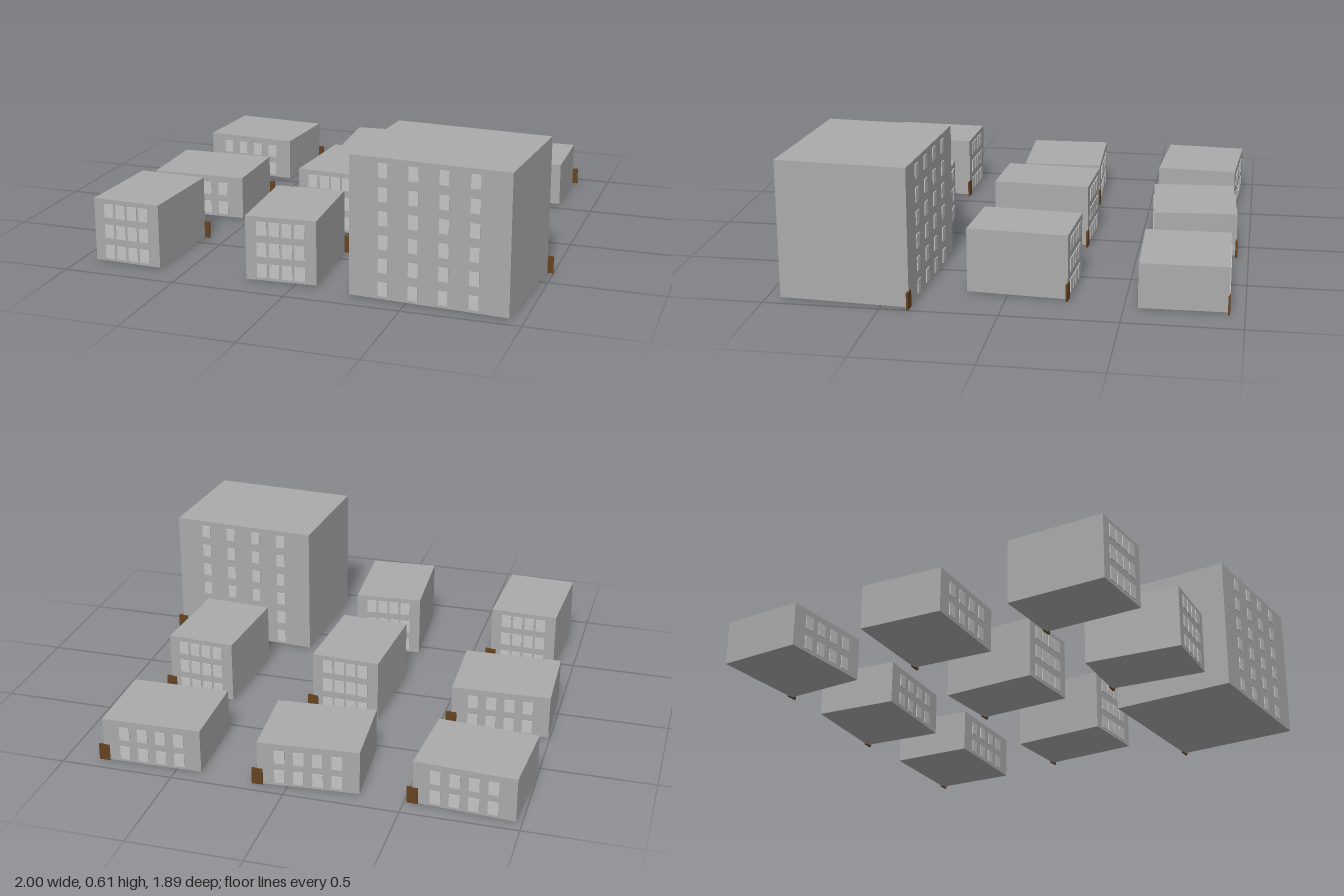
import * as THREE from 'three';

const wall = new THREE.MeshStandardMaterial({ name: 'concrete wall', color: 0xaaaaaa });
const glass = new THREE.MeshStandardMaterial({ name: 'pale window', color: 0xc4c4c4 });
const wood = new THREE.MeshStandardMaterial({ name: 'brown door', color: 0x654321 });

const BASE = 0.003;

// Building types: size, window grid and window width
const wide = { w: 0.44, h: 0.2, d: 0.375, rows: 2, colStep: 0.082, rowStep: 0.093, winW: 0.045 };
const narrow = { w: 0.31, h: 0.285, d: 0.437, rows: 3, colStep: 0.0555, rowStep: 0.0935, winW: 0.045 };
const tower = { w: 0.686, h: 0.605, d: 0.564, rows: 6, colStep: 0.13, rowStep: 0.1012, winW: 0.041 };

function box(name, material, size, position) {
  const mesh = new THREE.Mesh(new THREE.BoxGeometry(...size), material);
  mesh.name = name;
  mesh.position.set(...position);
  return mesh;
}

function createBuilding(type) {
  const { w, h, d, rows, colStep, rowStep, winW } = type;
  const building = new THREE.Group();
  building.add(box('walls', wall, [w, h - BASE, d], [0, (h + BASE) / 2, 0]));

  // Four columns of thin window panes on the front and back
  for (const side of [1, -1]) {
    for (let row = 0; row < rows; row++) {
      for (let col = 0; col < 4; col++) {
        building.add(box('window', glass, [winW, 0.06, 0.006],
          [(col - 1.5) * colStep, 0.046 + row * rowStep, side * (d / 2 + 0.001)]));
      }
    }
  }

  // Door slab straddling the back corner
  building.add(box('door', wood, [0.048, 0.075, 0.009], [w / 2, 0.0375, -d / 2]));
  return building;
}

export function createModel() {
  const model = new THREE.Group();
  model.name = 'cityBlock';

  // Three by three grid, each building turned slightly
  const step = 0.69;
  const plan = [
    [[wide, -0.066], [wide, 0.07], [wide, 0.018]],
    [[wide, 0.03], [narrow, -0.056], [narrow, -0.071]],
    [[narrow, -0.042], [narrow, 0.061], [tower, -0.065]],
  ];
  plan.forEach((line, r) => line.forEach(([type, turn], c) => {
    const building = createBuilding(type);
    building.name = type === tower ? 'tower' : type === wide ? 'wideHouse' : 'narrowHouse';
    building.position.set(-0.077 + (c - 1) * step, 0, -0.052 + (r - 1) * step);
    building.rotation.y = turn;
    model.add(building);
  }));
  return model;
}
